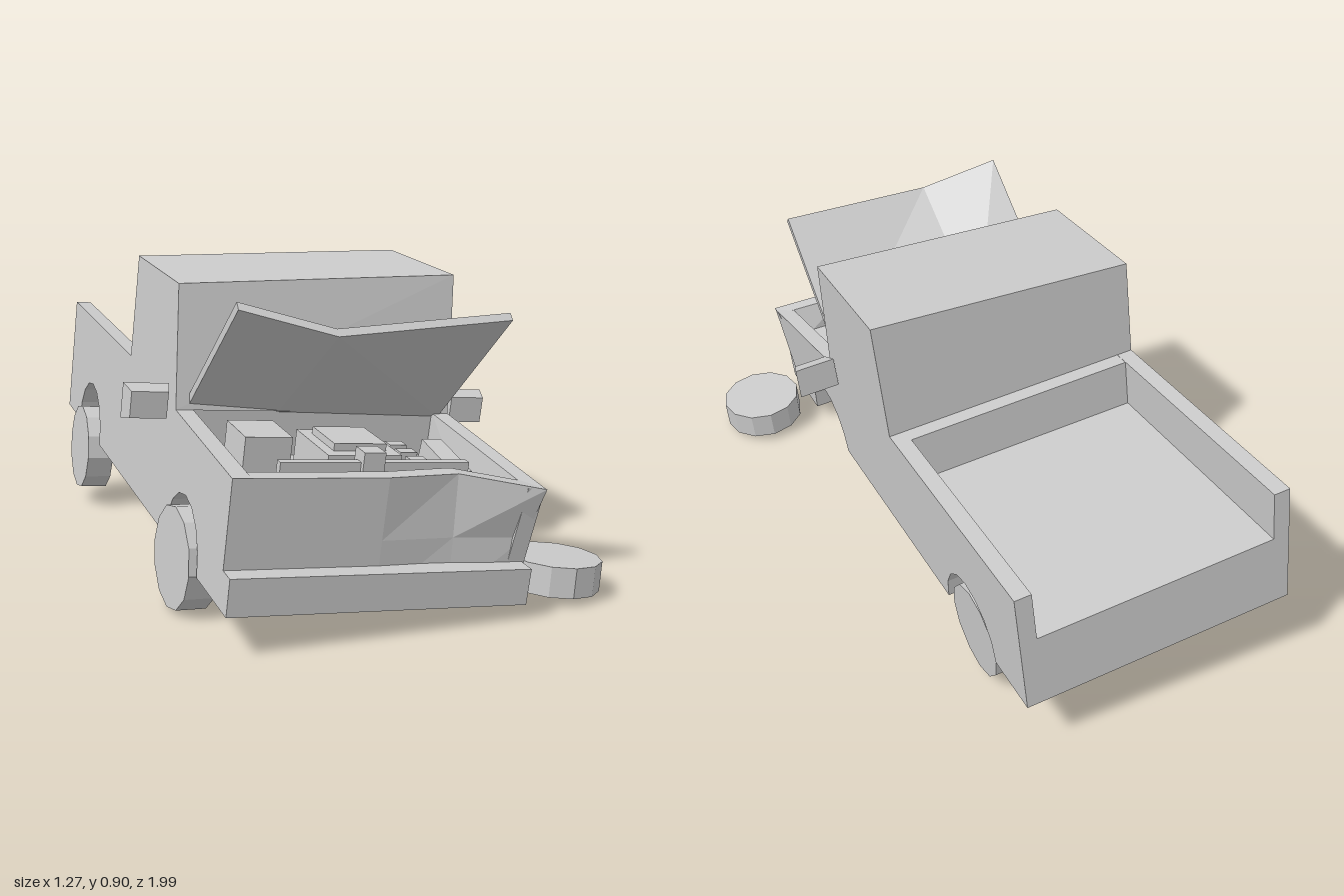
import * as THREE from 'three';

const grey = new THREE.MeshStandardMaterial({ color: 0xcccccc, flatShading: true, side: THREE.DoubleSide });

function add(parent, geometry, name, x = 0, y = 0, z = 0) {
  const mesh = new THREE.Mesh(geometry, grey);
  mesh.name = name;
  mesh.position.set(x, y, z);
  parent.add(mesh);
  return mesh;
}

// Box given by its two opposite corners
function block(parent, name, [x0, y0, z0], [x1, y1, z1]) {
  const g = new THREE.BoxGeometry(x1 - x0, y1 - y0, z1 - z0);
  return add(parent, g, name, (x0 + x1) / 2, (y0 + y1) / 2, (z0 + z1) / 2);
}

// Side profile of [z, y] points, extruded across x
function slab(points, x0, x1) {
  const shape = new THREE.Shape(points.map(([z, y]) => new THREE.Vector2(z, y)));
  const g = new THREE.ExtrudeGeometry(shape, { depth: x1 - x0, bevelEnabled: false });
  return g.rotateY(-Math.PI / 2).translate(x1, 0, 0);
}

// Move every vertex by a rule
function deform(g, rule) {
  const p = g.attributes.position;
  const v = new THREE.Vector3();
  for (let i = 0; i < p.count; i++) {
    rule(v.fromBufferAttribute(p, i));
    p.setXYZ(i, v.x, v.y, v.z);
  }
  g.computeVertexNormals();
  return g;
}

// Bottom edge with the two wheel arches
function archedBottom(rear, front) {
  const points = [[rear, 0]];
  for (const z of [-0.62, 0.55]) {
    for (let i = 0; i <= 8; i++) {
      const a = Math.PI * (1 - i / 8);
      points.push([z + 0.16 * Math.cos(a), 0.17 * Math.sin(a)]);
    }
  }
  points.push([front, 0]);
  return points;
}

// Crushed front corner, bent outwards
function crumple(v) {
  if (v.z > 0.85 && v.x > 0.3 && v.y > 0.25) {
    v.x += 0.025;
    v.y -= 0.025;
    v.z += 0.03;
  }
}

// Wheel with a closed outer face (+y) and an open inner side
function makeWheel(parent, name, r) {
  const wheel = new THREE.Group();
  wheel.name = name;
  add(wheel, new THREE.CylinderGeometry(r, r, 0.085, 12, 1, true), 'tread');
  add(wheel, new THREE.CircleGeometry(r, 12).rotateX(-Math.PI / 2), 'wheelFace', 0, 0.0425, 0);
  parent.add(wheel);
  return wheel;
}

// Bent open bonnet: back edge and front edge, each with a crease point
function bonnetGeometry() {
  const lower = [
    [-0.45, 0.50, 0.41], [-0.19, 0.475, 0.41], [0.31, 0.43, 0.385],
    [-0.405, 0.825, 0.82], [-0.155, 0.752, 0.85], [0.35, 0.765, 0.785],
  ];
  const upper = lower.map(([x, y, z]) => [x, y + 0.018, z - 0.016]);
  const quads = [
    [0, 1, 4, 3], [1, 2, 5, 4], [6, 9, 10, 7], [7, 10, 11, 8],
    [3, 4, 10, 9], [4, 5, 11, 10], [0, 6, 7, 1], [1, 7, 8, 2],
    [0, 3, 9, 6], [2, 8, 11, 5],
  ];
  let g = new THREE.BufferGeometry();
  g.setAttribute('position', new THREE.Float32BufferAttribute([...lower, ...upper].flat(), 3));
  g.setIndex(quads.flatMap(([a, b, c, d]) => [a, b, d, b, c, d]));
  g = g.toNonIndexed();
  g.computeVertexNormals();
  return g;
}

export function createModel() {
  const model = new THREE.Group();
  model.name = 'wreckedPickup';

  // Tilted truck
  const truck = new THREE.Group();
  truck.name = 'truck';
  truck.position.set(-0.128, 0.15, 0);
  truck.rotation.set(0.087, 0.057, -0.085, 'YXZ');
  model.add(truck);

  // Floor, with wheel wells at both sides
  block(truck, 'floor', [-0.315, 0, -0.975], [0.315, 0.23, 0.87]);
  const sill = [...archedBottom(-0.975, 0.87), [0.87, 0.23], [-0.975, 0.23]];
  const side = [...archedBottom(-0.975, 0.9), [0.9, 0.335], [0.39, 0.36], [-0.14, 0.385], [-0.975, 0.385]];
  for (const s of [-1, 1]) {
    add(truck, slab(sill, s < 0 ? -0.365 : 0.315, s < 0 ? -0.315 : 0.365), 'wheelWell');
    add(truck, deform(slab(side, s < 0 ? -0.415 : 0.365, s < 0 ? -0.365 : 0.415), crumple), 'sidePanel');
  }

  // Cab, its roof pressed down on one side
  const cab = slab([[-0.14, 0.385], [0.39, 0.36], [0.31, 0.76], [-0.14, 0.76]], -0.415, 0.415);
  add(truck, deform(cab, (v) => { if (v.x < 0 && v.y > 0.7) v.y -= 0.065; }), 'cab');
  add(truck, slab([[-0.19, 0.23], [0.385, 0.23], [0.385, 0.36], [-0.14, 0.384], [-0.19, 0.384]], -0.365, 0.365), 'cabBase');

  // Front panel with a dent, and bumper
  const front = new THREE.BoxGeometry(0.83, 0.335, 0.05, 4, 2, 1).translate(0, 0.1675, 0.885);
  add(truck, deform(front, (v) => {
    if (v.x > 0.15 && v.x < 0.25 && v.y > 0.1) v.z -= v.y > 0.3 ? 0.03 : 0.012;
    crumple(v);
  }), 'frontPanel');
  block(truck, 'bumper', [-0.415, 0, 0.9], [0.415, 0.1, 0.965]);

  // Engine bay
  block(truck, 'battery', [-0.31, 0.23, 0.52], [-0.18, 0.37, 0.68]);
  block(truck, 'engineBlock', [-0.1, 0.23, 0.5], [0.11, 0.34, 0.74]);
  block(truck, 'engineCover', [-0.07, 0.34, 0.54], [0.08, 0.36, 0.7]);
  block(truck, 'radiator', [-0.26, 0.23, 0.79], [0.27, 0.345, 0.815]);
  block(truck, 'radiatorCap', [-0.04, 0.3, 0.77], [0.02, 0.375, 0.83]);
  for (const z of [0.54, 0.61, 0.68]) block(truck, 'engineFitting', [0.15, 0.23, z], [0.2, 0.32, z + 0.04]);
  const tank = block(truck, 'fluidTank', [0.25, 0.22, 0.56], [0.31, 0.32, 0.76]);
  tank.rotation.x = 0.15;

  // Mirrors, narrower towards the front
  for (const s of [-1, 1]) {
    const mirror = deform(new THREE.BoxGeometry(0.13, 0.1, 0.05), (v) => {
      if (v.z > 0) { v.x *= 0.8; v.y *= 0.75; }
    });
    add(truck, mirror, 'mirror', s * 0.485, 0.367, 0.345);
  }

  // Wheels still on the truck: side, x, y, z, toe
  const wheels = [
    ['rearWheel', 1, 0.37, 0, -0.635, 0],
    ['rearWheel', -1, -0.4, -0.055, -0.63, 0],
    ['frontWheel', -1, -0.4, 0.0, 0.56, 0.06],
  ];
  for (const [name, s, x, y, z, toe] of wheels) {
    const wheel = makeWheel(truck, name, 0.142);
    wheel.position.set(x, y, z);
    wheel.rotation.set(0, toe, -s * Math.PI / 2, 'YXZ');
  }

  // Wheel lying on the ground
  const loose = makeWheel(model, 'looseWheel', 0.132);
  loose.position.set(0.505, 0.058, 0.76);
  loose.rotation.z = -0.085;

  add(model, bonnetGeometry(), 'openBonnet');
  return model;
}
